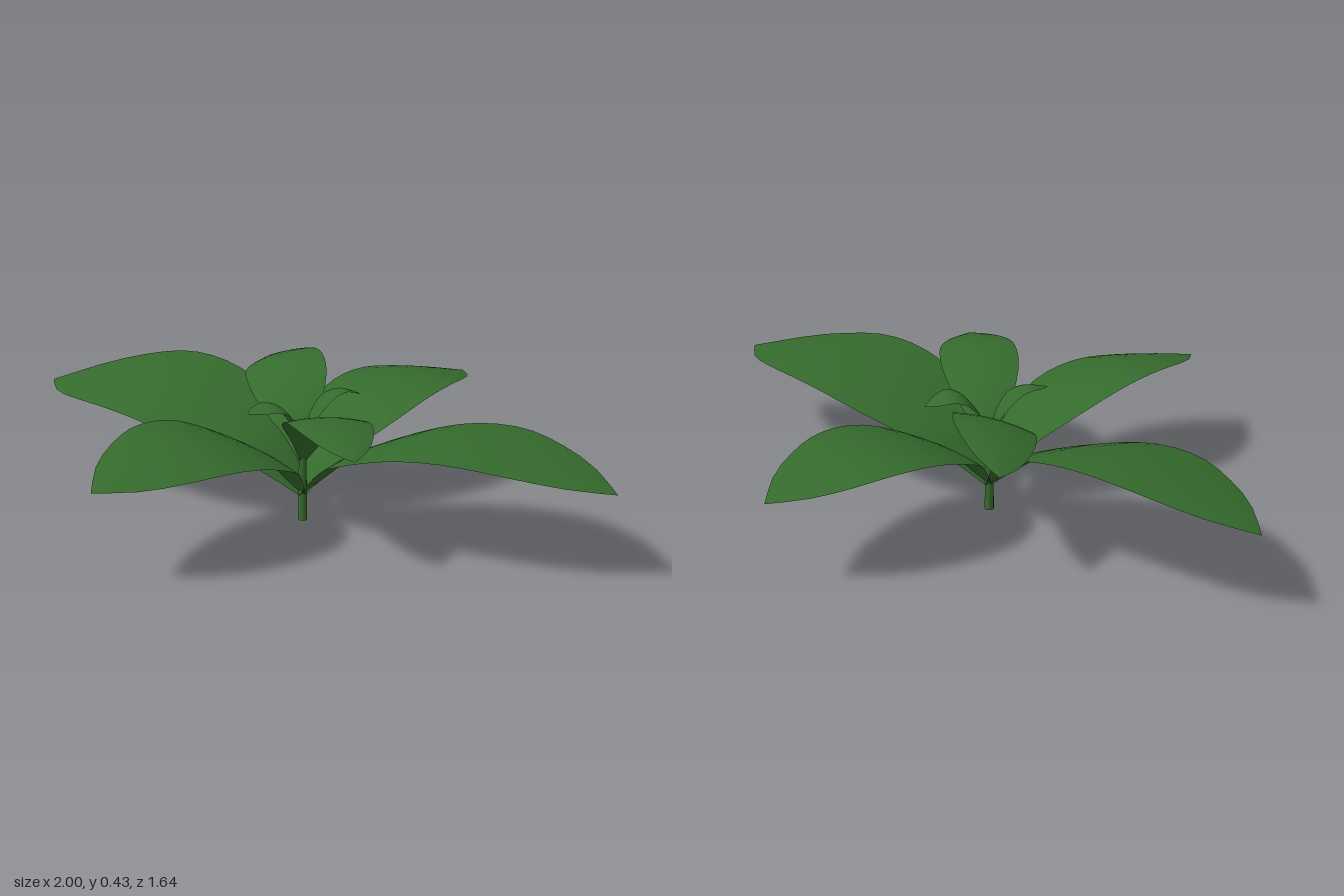
import * as THREE from 'three';

const leafMaterial = new THREE.MeshStandardMaterial({ color: 0x356b2d, side: THREE.DoubleSide });
const stemMaterial = new THREE.MeshStandardMaterial({ color: 0x356b2d });

// Half width along the blade, as a fraction of the widest point
const outline = new THREE.SplineCurve([
  [0, 0.06], [0.1, 0.4], [0.2, 0.7], [0.35, 0.94], [0.5, 1],
  [0.65, 0.93], [0.8, 0.69], [0.9, 0.42], [1, 0],
].map(([t, w]) => new THREE.Vector2(t, w)));

// A blade that rises from the stem, arches over and droops to a pointed tip.
// tilt raises the right-hand edge (seen from the stem), arch drops both edges.
function makeLeaf({ name, tip, base, peak, end, width, tilt, arch }) {
  const rows = 20, cols = 8;
  const drop = peak - end;
  const spine = new THREE.SplineCurve([
    [0, base], [0.1, base + (peak - base) * 0.38], [0.2, base + (peak - base) * 0.63],
    [0.4, base + (peak - base) * 0.91], [0.6, peak], [0.8, peak - drop * 0.35], [1, end],
  ].map(([t, y]) => new THREE.Vector2(t, y)));
  const [tx, tz] = tip;
  const length = Math.hypot(tx, tz);
  const right = [-tz / length, tx / length];

  const positions = [], index = [];
  for (let i = 0; i <= rows; i++) {
    const p = spine.getPoint(i / rows);
    // Look the width up at the same distance from the stem
    let lo = 0, hi = 1;
    for (let k = 0; k < 20; k++) {
      const mid = (lo + hi) / 2;
      if (outline.getPoint(mid).x < p.x) lo = mid; else hi = mid;
    }
    const half = width * Math.max(0, outline.getPoint(lo).y) * (i === rows ? 0 : 1);
    for (let j = 0; j <= cols; j++) {
      const u = (j / cols) * 2 - 1;
      const side = half * u;
      positions.push(
        tx * p.x + right[0] * side,
        p.y + tilt * side - arch * u * u * (half / width),
        tz * p.x + right[1] * side,
      );
      if (i < rows && j < cols) {
        const a = i * (cols + 1) + j, b = a + cols + 1;
        index.push(a, a + 1, b, a + 1, b + 1, b);
      }
    }
  }
  const geometry = new THREE.BufferGeometry();
  geometry.setAttribute('position', new THREE.Float32BufferAttribute(positions, 3));
  geometry.setIndex(index);
  geometry.computeVertexNormals();
  const leaf = new THREE.Mesh(geometry, leafMaterial);
  leaf.name = name;
  return leaf;
}

export function createModel() {
  const plant = new THREE.Group();
  plant.name = 'plant';

  // Stem
  const stem = new THREE.Mesh(new THREE.CylinderGeometry(0.011, 0.014, 0.24, 10), stemMaterial);
  stem.name = 'stem';
  stem.position.y = 0.12;
  plant.add(stem);

  const leaves = [
    // Four large outer leaves
    { name: 'leftLeaf', tip: [1, -0.11], base: 0.08, peak: 0.345, end: 0.265, width: 0.225, tilt: 0.01, arch: 0.012 },
    { name: 'rightLeaf', tip: [-1, 0.045], base: 0.08, peak: 0.35, end: 0.265, width: 0.225, tilt: 0.18, arch: 0.014 },
    { name: 'frontLeaf', tip: [-0.055, 0.82], base: 0.08, peak: 0.347, end: 0.29, width: 0.182, tilt: 0.19, arch: 0.014 },
    { name: 'backLeaf', tip: [0, -0.82], base: 0.08, peak: 0.345, end: 0.285, width: 0.182, tilt: 0.02, arch: 0.012 },
    // Two middle leaves
    { name: 'frontLeftMiddleLeaf', tip: [0.445, 0.325], base: 0.18, peak: 0.402, end: 0.352, width: 0.118, tilt: 0.06, arch: 0.014 },
    { name: 'backRightMiddleLeaf', tip: [-0.425, -0.355], base: 0.18, peak: 0.41, end: 0.36, width: 0.118, tilt: 0.3, arch: 0.014 },
    // Two young centre leaves
    { name: 'backYoungLeaf', tip: [0.075, -0.185], base: 0.22, peak: 0.39, end: 0.36, width: 0.044, tilt: 0.15, arch: 0.01 },
    { name: 'frontYoungLeaf', tip: [-0.055, 0.185], base: 0.22, peak: 0.375, end: 0.36, width: 0.044, tilt: 0.15, arch: 0.01 },
  ];
  for (const leaf of leaves) plant.add(makeLeaf(leaf));
  return plant;
}
